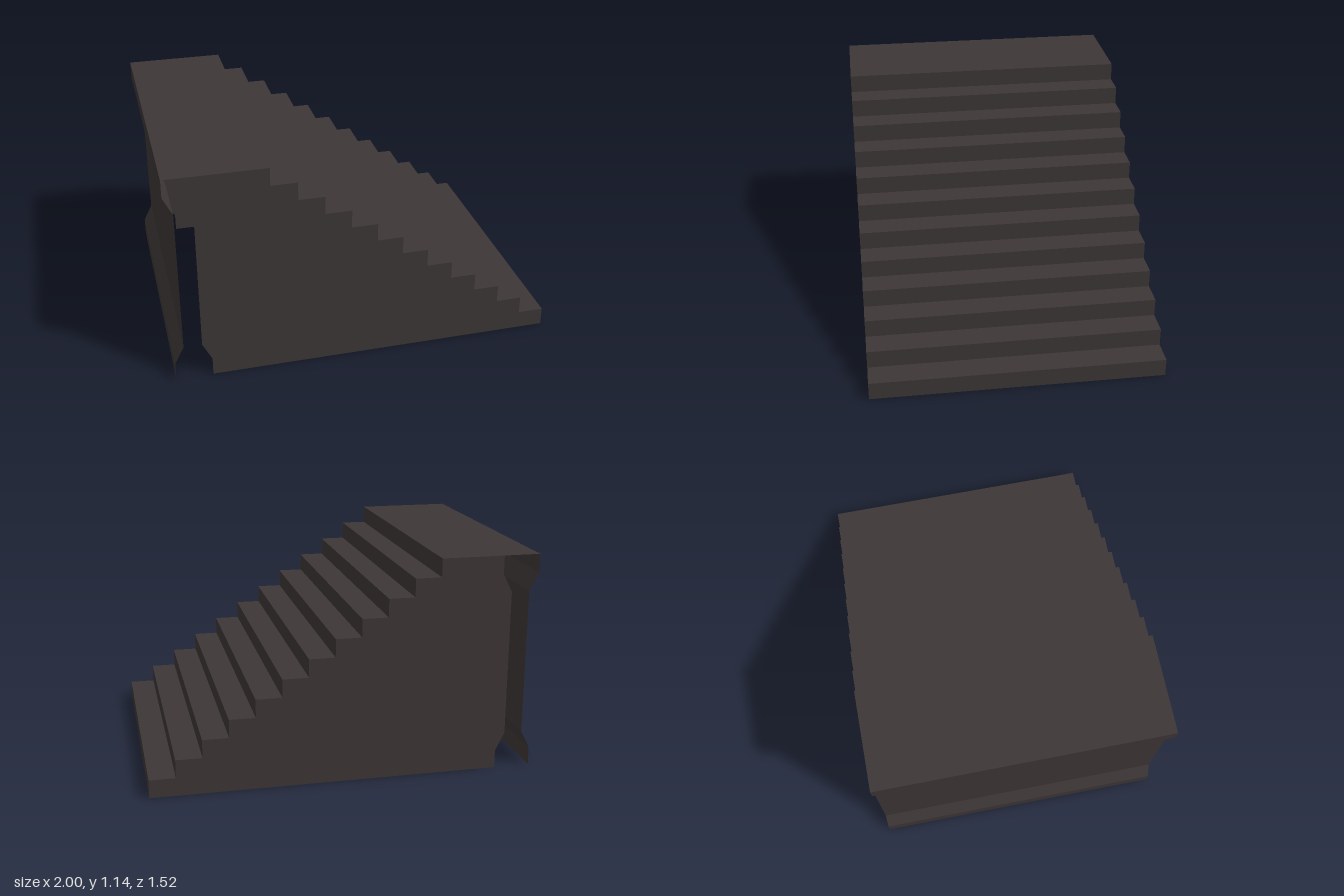
import * as THREE from 'three';

const STEPS = 12;
const HEIGHT = 1.143;
const RISE = HEIGHT / STEPS;
const TREAD = 0.135;
const HALF_WIDTH = 0.762;

// Sweeps an open [x, y] profile across the width as flat quads, facing right of its direction
function ribbon(profile) {
  const w = HALF_WIDTH, pos = [];
  for (let i = 0; i < profile.length - 1; i++) {
    const [ax, ay] = profile[i], [bx, by] = profile[i + 1];
    pos.push(ax, ay, w, ax, ay, -w, bx, by, -w);
    pos.push(ax, ay, w, bx, by, -w, bx, by, w);
  }
  const geometry = new THREE.BufferGeometry();
  geometry.setAttribute('position', new THREE.Float32BufferAttribute(pos, 3));
  geometry.computeVertexNormals();
  return geometry;
}

// Upright edge, top to bottom, whose middle is shifted sideways
function uprightEdge(x, shift) {
  return [
    [x, HEIGHT], [x, HEIGHT - RISE], [x + shift, HEIGHT - 2 * RISE],
    [x + shift, 2 * RISE], [x, RISE], [x, 0],
  ];
}

export function createModel() {
  const model = new THREE.Group();
  model.name = 'staircase';
  const darkStone = new THREE.MeshStandardMaterial({ color: 0x3d3636, side: THREE.DoubleSide });
  darkStone.name = 'darkStone';

  const add = (name, geometry, z = 0) => {
    const mesh = new THREE.Mesh(geometry, darkStone);
    mesh.name = name;
    mesh.position.z = z;
    model.add(mesh);
  };

  // Zigzag of risers and treads, from the toe to the edge of the landing
  const zigzag = [[1, 0]];
  for (let i = 0; i < STEPS; i++) {
    const x = 1 - i * TREAD, y = (i + 1) * RISE;
    zigzag.push([x, y]);
    if (i < STEPS - 1) zigzag.push([x - TREAD, y]);
  }
  add('steps', ribbon(zigzag));

  // Flat landing overhanging the gap behind the side walls
  add('landing', ribbon([zigzag[zigzag.length - 1], [-1, HEIGHT]]));

  // Tall end panel with a recessed middle
  add('endPanel', ribbon(uprightEdge(-1, 0.048)));

  // Thin stepped side walls
  const outline = [...zigzag, ...uprightEdge(-0.81, -0.048)];
  const wall = new THREE.ShapeGeometry(
    new THREE.Shape(outline.map(([x, y]) => new THREE.Vector2(x, y))));
  add('frontWall', wall, HALF_WIDTH);
  add('backWall', wall, -HALF_WIDTH);

  return model;
}
